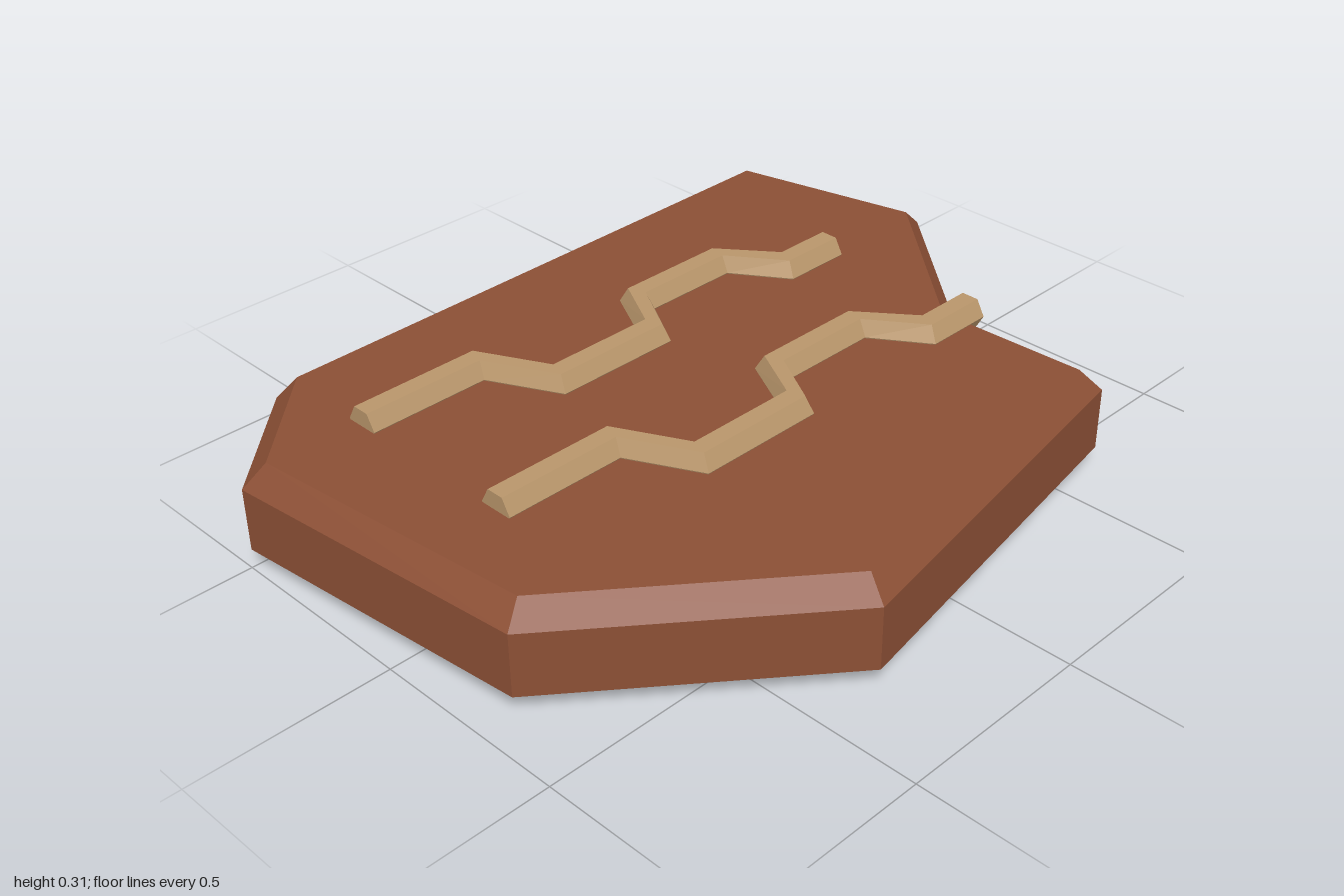
import * as THREE from 'three';

const brown = new THREE.MeshStandardMaterial({ color: 0x8b4f35, flatShading: true });
brown.name = 'reddish brown';
const tan = new THREE.MeshStandardMaterial({ color: 0xb9966b, flatShading: true });
tan.name = 'tan';

// Skin a series of equal-length rings and close both ends.
function loft(rings, contour) {
  const positions = [];
  const tri = (...points) => points.forEach((p) => positions.push(...p));
  const n = contour.length;
  for (let r = 0; r < rings.length - 1; r++) {
    for (let i = 0; i < n; i++) {
      const j = (i + 1) % n;
      const [a, b, c, d] = [rings[r][i], rings[r + 1][i], rings[r + 1][j], rings[r][j]];
      tri(a, b, c);
      tri(a, c, d);
    }
  }
  const first = rings[0];
  const last = rings[rings.length - 1];
  for (const face of THREE.ShapeUtils.triangulateShape(contour, [])) {
    const [a, b, c] = [...face].sort((p, q) => p - q);
    tri(first[a], first[b], first[c]);
    tri(last[a], last[c], last[b]);
  }
  const geometry = new THREE.BufferGeometry();
  geometry.setAttribute('position', new THREE.Float32BufferAttribute(positions, 3));
  geometry.computeVertexNormals();
  return geometry;
}

// Bevelled irregular slab with a notch in one side.
function makeSlab() {
  const outline = [
    [-0.73, -0.75], [0.88, -0.77], [1, -0.26], [0.625, 0.18],
    [0.64, 0.6], [-0.34, 0.77], [-0.92, 0.3], [-1, -0.49],
  ];
  const levels = [[0, 0.9, -0.01], [0.055, 1, 0], [0.215, 1, 0], [0.267, 0.943, -0.01]];
  const rings = levels.map(([y, s, shift]) => outline.map(([x, z]) => [x * s, y, z * s + shift]));
  return new THREE.Mesh(loft(rings, outline.map(([x, z]) => new THREE.Vector2(x, z))), brown);
}

// Hexagonal zigzag bar; the third value skews each joint like a mitre.
function makeBar() {
  const path = [
    [-0.71, 0.02, 0], [-0.38, 0.02, 0.36], [-0.29, 0.2, 0.36], [0.016, 0.2, -0.28],
    [0.093, 0.06, -0.36], [0.373, 0.06, 0.2], [0.476, 0.2, 0.42], [0.64, 0.2, 0],
  ];
  const hexagon = [];
  for (let i = 0; i < 6; i++) {
    const angle = (i * Math.PI) / 3;
    hexagon.push(new THREE.Vector2(0.045 * Math.cos(angle), 0.046 * Math.sin(angle)));
  }
  const rings = path.map(([x, z, skew]) => hexagon.map((p) => [x - skew * p.x, 0.27 + p.y, z + p.x]));
  return new THREE.Mesh(loft(rings, hexagon), tan);
}

export function createModel() {
  const model = new THREE.Group();
  model.name = 'notchedSlab';
  const slab = makeSlab();
  slab.name = 'slab';
  model.add(slab);
  ['frontZigzag', 'backZigzag'].forEach((name, i) => {
    const bar = makeBar();
    bar.name = name;
    bar.position.z = -0.46 * i;
    model.add(bar);
  });
  return model;
}
